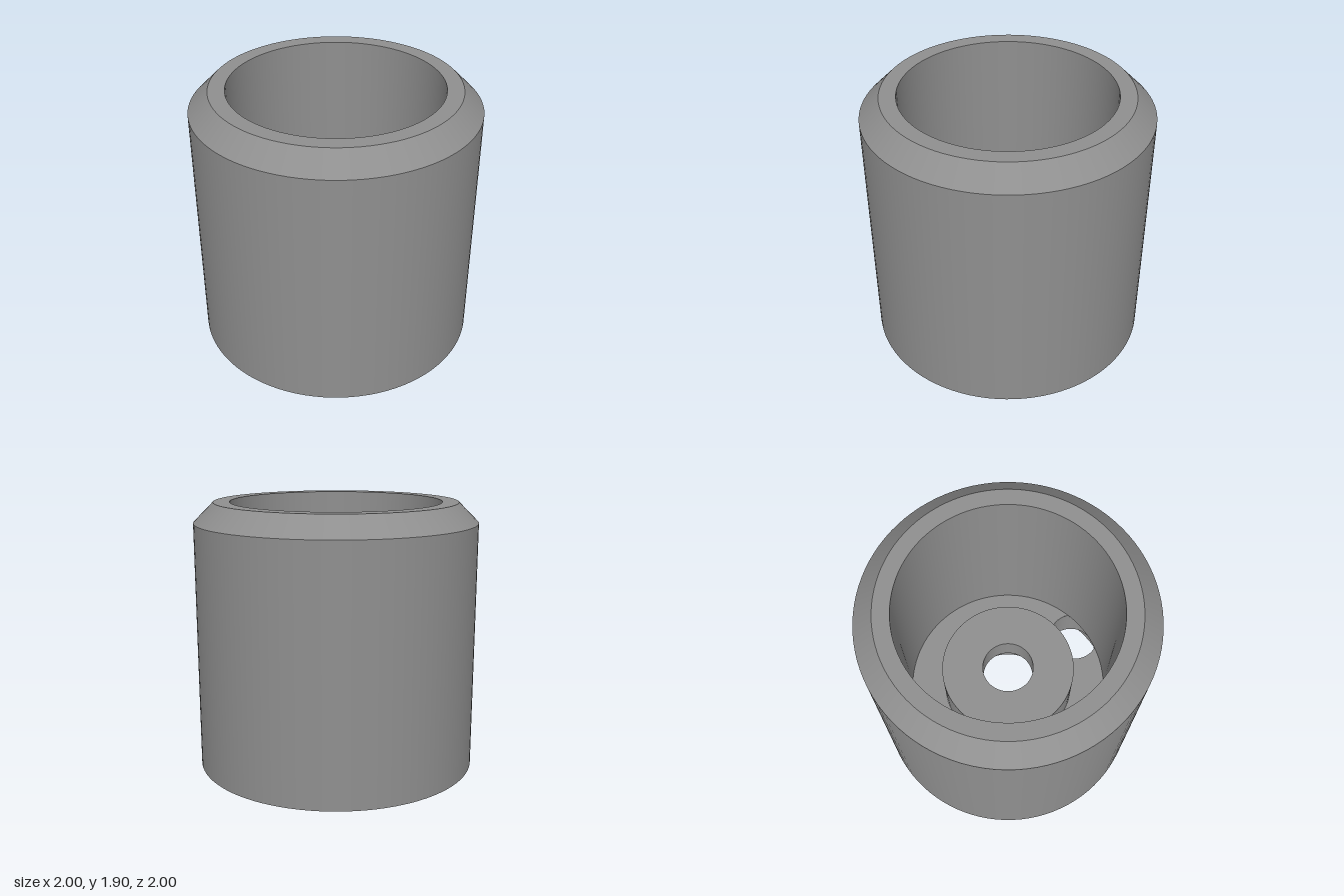
import * as THREE from 'three';

const FLOOR = 0.45, RECESS = 0.15;          // inner floor and underside heights
const BORE = 0.745, BOSS = 0.49;            // bore and central boss radii
const HOLE_R = 0.188, HOLE_Z = 0.65;        // offset drilled hole
const PI = Math.PI;

export function createModel() {
  const group = new THREE.Group();
  const steel = new THREE.MeshStandardMaterial({ color: 0x8f8f8f });
  steel.name = 'steel grey';

  const add = (name, geometry, parent = group) => {
    const mesh = new THREE.Mesh(geometry, steel);
    mesh.name = name;
    parent.add(mesh);
    return mesh;
  };

  // Revolved profile with a sharp edge at every corner
  const turned = (name, profile) => {
    const part = new THREE.Group();
    part.name = name;
    for (let i = 0; i < profile.length - 1; i++) {
      const pair = [profile[i], profile[i + 1]].map(([r, y]) => new THREE.Vector2(r, y));
      add(name + 'Face' + (i + 1), new THREE.LatheGeometry(pair, 96), part);
    }
    group.add(part);
    return part;
  };

  // Flat horizontal face, looking up or down
  const flat = (name, shape, y, up) =>
    add(name, new THREE.ShapeGeometry(shape, 64).rotateX(up ? -PI / 2 : PI / 2).translate(0, y, 0));

  // Outer shell: bottom recess, rim, wall, chamfer, lip and bore
  turned('shell', [[0.865, RECESS], [0.865, 0], [1, 0], [1, 1.76], [0.86, 1.9], [BORE, 1.9], [BORE, FLOOR]]);

  // Central boss with a through hole, counterbored from below
  turned('boss', [[BOSS, FLOOR], [BOSS, 0.8], [0.188, 0.8], [0.188, 0.6], [0.344, 0.6], [0.344, RECESS]]);

  // Wall of the offset hole
  turned('sideHole', [[HOLE_R, FLOOR], [HOLE_R, RECESS]]).position.z = HOLE_Z;

  // Underside of the floor with both openings
  const under = new THREE.Shape().absarc(0, 0, 0.865, 0, 2 * PI);
  under.holes.push(new THREE.Path().absarc(0, 0, 0.344, 0, 2 * PI, true));
  under.holes.push(new THREE.Path().absarc(0, HOLE_Z, HOLE_R, 0, 2 * PI, true));
  flat('floorUnderside', under, RECESS, false);

  // Where the offset hole crosses the bore and the boss
  const crossing = (R) => {
    const z = (R * R + HOLE_Z * HOLE_Z - HOLE_R * HOLE_R) / (2 * HOLE_Z);
    const x = Math.sqrt(R * R - z * z);
    return { a: Math.atan2(x, z), h: Math.atan2(z - HOLE_Z, x) };
  };
  const o = crossing(BORE), n = crossing(BOSS);

  // Ring-shaped inner floor, notched by the hole
  const ring = new THREE.Shape();
  ring.absarc(0, 0, BORE, -PI / 2 + o.a, 1.5 * PI - o.a, false);
  ring.absarc(0, -HOLE_Z, HOLE_R, PI + o.h, PI + n.h, true);
  ring.absarc(0, 0, BOSS, 1.5 * PI - n.a, -PI / 2 + n.a, true);
  ring.absarc(0, -HOLE_Z, HOLE_R, -n.h, -o.h, true);
  flat('innerFloor', ring, FLOOR, true);

  // Blind ends of the hole beneath the shell and the boss
  const outerEnd = new THREE.Shape();
  outerEnd.absarc(0, HOLE_Z, HOLE_R, o.h, PI - o.h, false);
  outerEnd.absarc(0, 0, BORE, PI / 2 + o.a, PI / 2 - o.a, true);
  flat('holeEndUnderShell', outerEnd, FLOOR, false);
  const innerEnd = new THREE.Shape();
  innerEnd.absarc(0, HOLE_Z, HOLE_R, PI - n.h, 2 * PI + n.h, false);
  innerEnd.absarc(0, 0, BOSS, PI / 2 - n.a, PI / 2 + n.a, false);
  flat('holeEndUnderBoss', innerEnd, FLOOR, false);

  return group;
}
